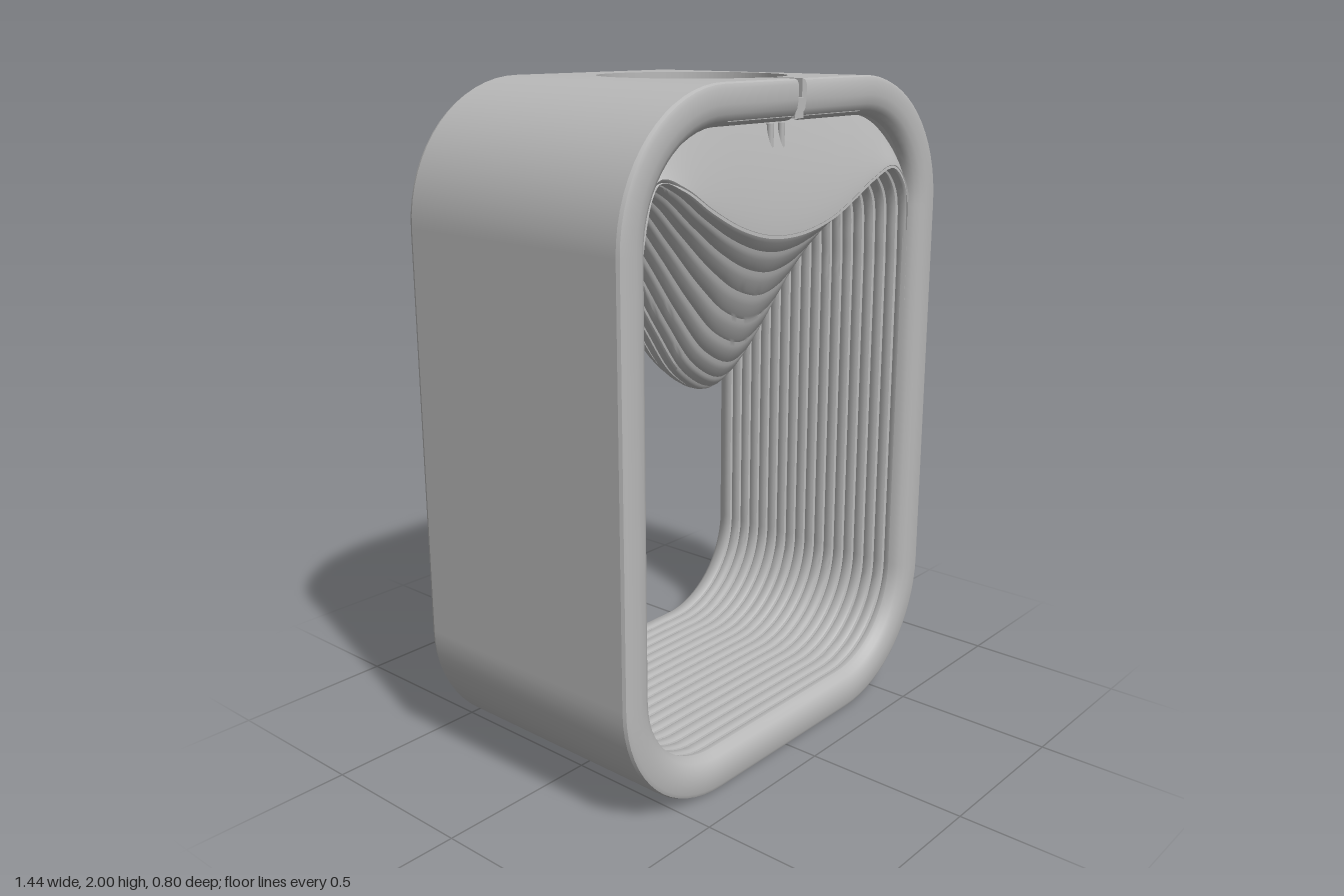
import * as THREE from 'three';
import { toCreasedNormals } from 'three/addons/utils/BufferGeometryUtils.js';

const grey = new THREE.MeshStandardMaterial({ color: 0xb8b8b8, side: THREE.DoubleSide });
grey.name = 'matte grey';

// Skin a list of equally long cross-sections
function loft(sections, crease) {
  const n = sections[0].length, pos = [], index = [];
  sections.forEach(s => s.forEach(p => pos.push(p.x, p.y, p.z)));
  for (let i = 0; i < sections.length - 1; i++) {
    for (let j = 0; j < n - 1; j++) {
      const a = i * n + j, b = a + n;
      index.push(a, b, a + 1, b, b + 1, a + 1);
    }
  }
  const g = new THREE.BufferGeometry();
  g.setAttribute('position', new THREE.Float32BufferAttribute(pos, 3));
  g.setIndex(index);
  g.computeVertexNormals();
  return crease ? toCreasedNormals(g, crease) : g;
}

// Rounded-rectangle loop, clockwise from the top centre, with an optional gap there
function frameLoop(inset, z, gap) {
  const w = 0.72 - inset, r = 0.4 - inset, lo = inset, hi = 2 - inset, pts = [];
  const add = (x, y) => pts.push(new THREE.Vector3(x, y, z));
  const corners = [[w - r, hi - r, 90], [w - r, lo + r, 0], [r - w, lo + r, -90], [r - w, hi - r, -180]];
  add(gap, hi);
  for (const [cx, cy, start] of corners) {
    for (let i = 0; i <= 16; i++) {
      const a = (start - i * 90 / 16) * Math.PI / 180;
      add(cx + r * Math.cos(a), cy + r * Math.sin(a));
    }
  }
  add(-gap, hi);
  return pts;
}

const curve = pts => new THREE.CatmullRomCurve3(pts.map(([x, y]) => new THREE.Vector3(x, y, 0)));

// Draped ceiling: lowest outline (middle), outline at the two ends, and its upper edge
const deep = curve([[-.61, 1.35], [-.604, 1.56], [-.55, 1.695], [-.45, 1.635], [-.33, 1.475], [-.2, 1.28],
  [-.08, 1.125], [.05, 1.06], [.14, 1.11], [.21, 1.255], [.28, 1.42], [.38, 1.565], [.51, 1.63],
  [.59, 1.575], [.608, 1.45], [.61, 1.3]]);
const shallow = curve([[-.61, 1.35], [-.604, 1.6], [-.545, 1.76], [-.45, 1.735], [-.34, 1.67], [-.22, 1.612],
  [-.1, 1.577], [0, 1.568], [.1, 1.575], [.21, 1.6], [.31, 1.642], [.41, 1.69], [.52, 1.72],
  [.592, 1.65], [.608, 1.48], [.61, 1.3]]);
const upper = curve([[-.615, 1.35], [-.615, 1.62], [-.595, 1.72], [-.53, 1.815], [-.42, 1.875], [-.27, 1.895],
  [-.13, 1.895], [0, 1.895], [.13, 1.895], [.25, 1.895], [.36, 1.89], [.46, 1.86], [.55, 1.79],
  [.595, 1.72], [.615, 1.6], [.615, 1.3]]);
const END = 0.37, STEPS = 90;

function drape(t, z) {
  const u = Math.min(1, Math.abs(z) / END);
  const w = 0.5 * Math.cos(Math.PI * u / 2) + 0.25 * (1 + Math.cos(Math.PI * u));
  const p = shallow.getPoint(t).lerp(deep.getPoint(t), w);
  p.z = z;
  return p;
}

// Whole inner loop: drape, right wall, floor, left wall, pushed outwards by a groove depth
function linerLoop(z, groove) {
  const pts = [];
  for (let i = 0; i <= STEPS; i++) pts.push(drape(i / STEPS, z));
  pts.push(...frameLoop(0.11, z, 0).slice(18, 52));
  const n = pts.length;
  const out = pts.map((p, i) => {
    const d = pts[(i + 1) % n].clone().sub(pts[(i + n - 1) % n]).normalize();
    return new THREE.Vector3(p.x - d.y * groove, p.y + d.x * groove, z);
  });
  out.push(out[0].clone());
  return out;
}

export function createModel() {
  const model = new THREE.Group();
  const add = (name, geometry) => {
    const m = new THREE.Mesh(geometry, grey);
    m.name = name;
    model.add(m);
    return m;
  };

  // Outer wall, open at the flat top, and rounded lips; the front lip is slit at the top
  add('outerWall', loft([frameLoop(0, -0.385, 0.3), frameLoop(0, 0.385, 0.3)]));
  const lip = [[0, .385], [.004, .395], [.015, .4], [.055, .4], [.08, .396], [.098, .385], [.109, .37], [.113, .355]];
  add('frontLip', loft(lip.map(([d, z]) => frameLoop(d, z, 0.018)), 0.7));
  add('backLip', loft(lip.map(([d, z]) => frameLoop(d, -z, 0)), 0.7));

  // Top plate with round opening and cable slit
  const R = 0.274, cz = 0.007, s = 0.018, e = 0.385;
  const a = Math.asin(s / R);
  const plate = new THREE.Shape();
  plate.moveTo(-0.3, -e);
  plate.lineTo(0.3, -e);
  plate.lineTo(0.3, e);
  plate.lineTo(s, e);
  plate.absarc(0, cz, R, Math.PI / 2 - a, Math.PI / 2 + a - Math.PI * 2, true);
  plate.lineTo(-s, e);
  plate.lineTo(-0.3, e);
  const plateGeo = new THREE.ExtrudeGeometry(plate, { depth: 0.1, bevelEnabled: false, curveSegments: 64 });
  plateGeo.rotateX(Math.PI / 2);
  add('topPlate', plateGeo).position.y = 2;
  add('slitFloor', new THREE.BoxGeometry(0.037, 0.055, 0.11)).position.set(0, 1.922, 0.335);

  // Ribbed inner lining with narrow grooves between the slats
  const slats = 18, pitch = 2 * END / slats, sections = [];
  for (let k = 0; k < slats; k++) {
    for (const [f, g] of [[0, .016], [.1, .004], [.28, 0], [.72, 0], [.9, .004]]) {
      sections.push(linerLoop(-END + (k + f) * pitch, g));
    }
  }
  sections.push(linerLoop(END, 0.01));
  add('ribbedLining', loft(sections, 0.6));

  // Smooth end skins from the drape up to the frame
  for (const side of [1, -1]) {
    const rows = [];
    for (let i = 0; i <= 12; i++) {
      const f = i / 12, row = [];
      for (let j = 0; j <= STEPS; j++) {
        const t = j / STEPS;
        const p = shallow.getPoint(t).lerp(upper.getPoint(t), f);
        p.z = side * (END - 0.07 * Math.sin(Math.PI * t) * Math.pow(f, 1.5));
        row.push(p);
      }
      rows.push(row);
    }
    add(side > 0 ? 'frontSkin' : 'backSkin', loft(rows));
  }

  // Stepped slats inside the pocket, below the round opening
  const steps = [], stepPitch = 0.044;
  for (let k = -7; k < 7; k++) {
    const z = k * stepPitch;
    for (const [f, lift] of [[0, .12], [.5, .12], [.999, .07]]) {
      const row = [];
      for (let j = 0; j <= 40; j++) {
        const p = drape(0.22 + 0.54 * j / 40, z + stepPitch / 2);
        p.y += lift;
        p.z = z + f * stepPitch;
        row.push(p);
      }
      steps.push(row);
    }
  }
  add('pocketSlats', loft(steps, 0.4));

  // Small cable guides under the slit
  for (const x of [-0.03, 0.02]) {
    add('cableGuide', new THREE.CylinderGeometry(0.01, 0.01, 0.08, 12)).position.set(x, 1.84, 0.315);
  }
  return model;
}
